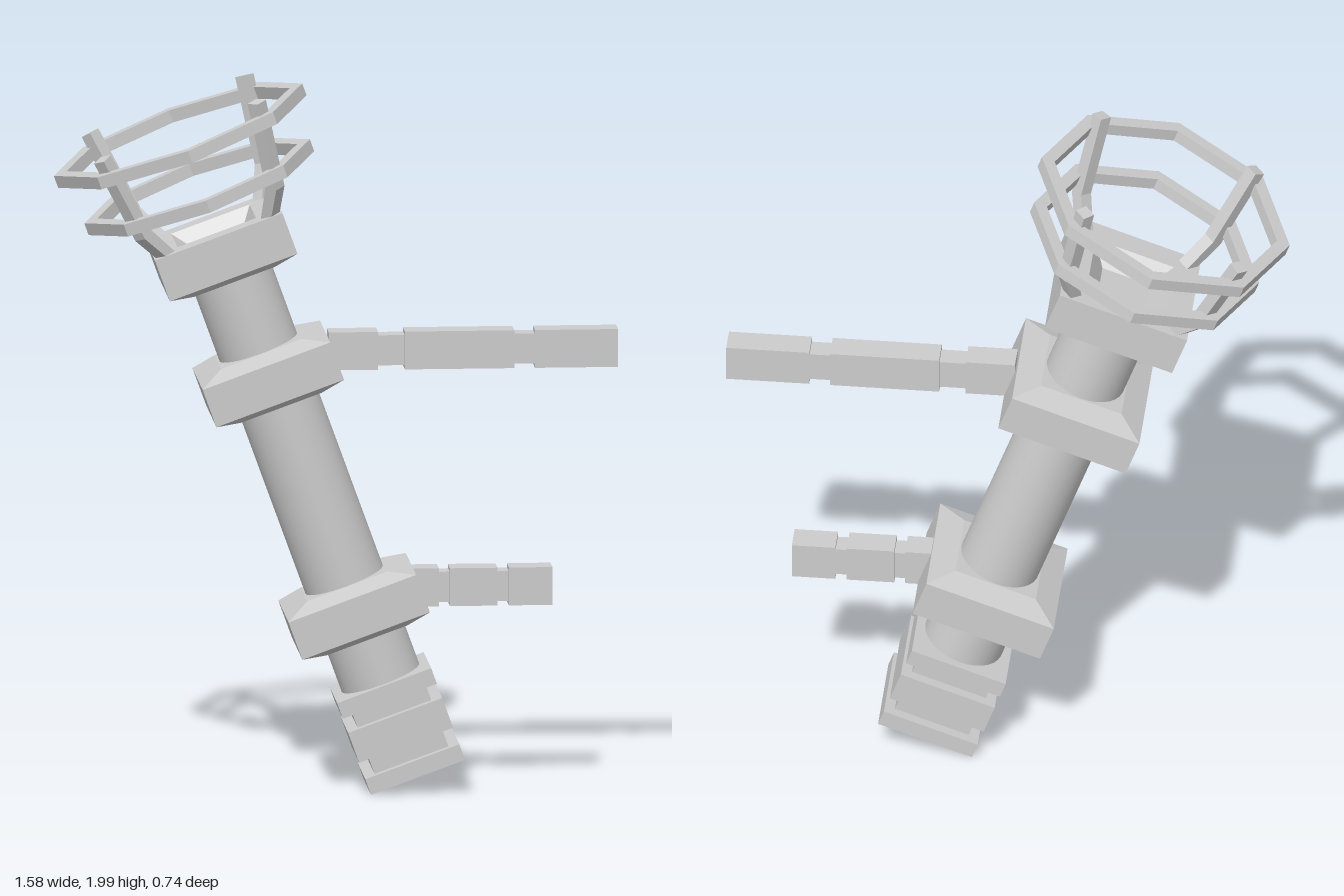
import * as THREE from 'three';

const material = new THREE.MeshStandardMaterial({ color: 0xcccccc, flatShading: true });
const smoothMaterial = new THREE.MeshStandardMaterial({ color: 0xcccccc });

function add(parent, name, geometry, mat = material) {
  const mesh = new THREE.Mesh(geometry, mat);
  mesh.name = name;
  parent.add(mesh);
  return mesh;
}

// Faceted solid from a [radius, height] profile turned around the shaft axis
function faceted(profile, sides, phiStart = 0) {
  const points = profile.map(([r, y]) => new THREE.Vector2(r, y));
  const geometry = new THREE.LatheGeometry(points, sides, phiStart).toNonIndexed();
  geometry.computeVertexNormals();
  return geometry;
}

// Square solid: the profile gives half widths
function square(profile) {
  return faceted(profile.map(([h, y]) => [h * Math.SQRT2, y]), 4, Math.PI / 4);
}

// Horizontal wall arm: full blocks joined by thinner necks
function addArm(parent, name, stops, y) {
  const arm = new THREE.Group();
  arm.name = name;
  for (let i = 0; i < stops.length - 1; i++) {
    const neck = i % 2 === 1;
    const length = stops[i + 1] - stops[i];
    const geometry = new THREE.BoxGeometry(length, neck ? 0.085 : 0.107, neck ? 0.06 : 0.077);
    add(arm, neck ? 'armNeck' : 'armBlock', geometry).position.set(stops[i] + length / 2, y, 0);
  }
  parent.add(arm);
}

export function createModel() {
  const model = new THREE.Group();
  model.name = 'wallTorch';

  // Everything on the leaning shaft is built upright, then tilted
  const torch = new THREE.Group();
  torch.name = 'torch';
  torch.position.set(0.212, 0.049, 0);
  torch.rotation.z = THREE.MathUtils.degToRad(20);
  model.add(torch);

  // Stepped square foot
  const w = 0.14, n = 0.11;
  add(torch, 'foot', square([
    [0, 0], [w, 0], [w, 0.047], [n, 0.047], [n, 0.097], [w, 0.097], [w, 0.187],
    [n, 0.187], [n, 0.23], [w, 0.23], [w, 0.277], [0, 0.277],
  ]));

  // Round shaft
  add(torch, 'shaft', new THREE.CylinderGeometry(0.115, 0.115, 1.26, 32), smoothMaterial)
    .position.y = 0.9;

  // Two collars with sloping ends
  for (const [name, y] of [['lowerCollar', 0.436], ['upperCollar', 1.139]]) {
    add(torch, name, square([
      [0, y - 0.025], [0.12, y - 0.025], [0.19, y], [0.19, y + 0.113],
      [0.12, y + 0.138], [0, y + 0.138],
    ]));
  }

  // Head block with a dished top
  add(torch, 'head', square([
    [0, 1.495], [0.12, 1.495], [0.19, 1.52], [0.19, 1.643],
    [0.117, 1.643], [0.072, 1.59], [0, 1.59],
  ]));

  // Octagonal hoops
  for (const [name, r, y] of [['lowerHoop', 0.336, 1.76], ['upperHoop', 0.37, 1.916]]) {
    const i = r - 0.038, b = y - 0.018, t = y + 0.018;
    add(torch, name, faceted([[i, b], [r, b], [r, t], [i, t], [i, b]], 8));
  }

  // Four bent prongs on the diagonals
  const prongShape = new THREE.Shape([
    [0.185, 1.62], [0.225, 1.62], [0.295, 1.715], [0.343, 1.968], [0.307, 1.975], [0.26, 1.73],
  ].map(([r, y]) => new THREE.Vector2(r, y)));
  const prong = new THREE.ExtrudeGeometry(prongShape, { depth: 0.038, bevelEnabled: false });
  prong.translate(0, 0, -0.019);
  for (let k = 0; k < 4; k++) {
    add(torch, 'prong', prong).rotation.y = Math.PI / 4 + (k * Math.PI) / 2;
  }

  // Level arms reaching to the wall
  addArm(model, 'upperArm', [-0.03, 0.108, 0.183, 0.489, 0.547, 0.78], 1.24);
  addArm(model, 'lowerArm', [0.18, 0.278, 0.309, 0.442, 0.474, 0.596], 0.569);

  return model;
}
